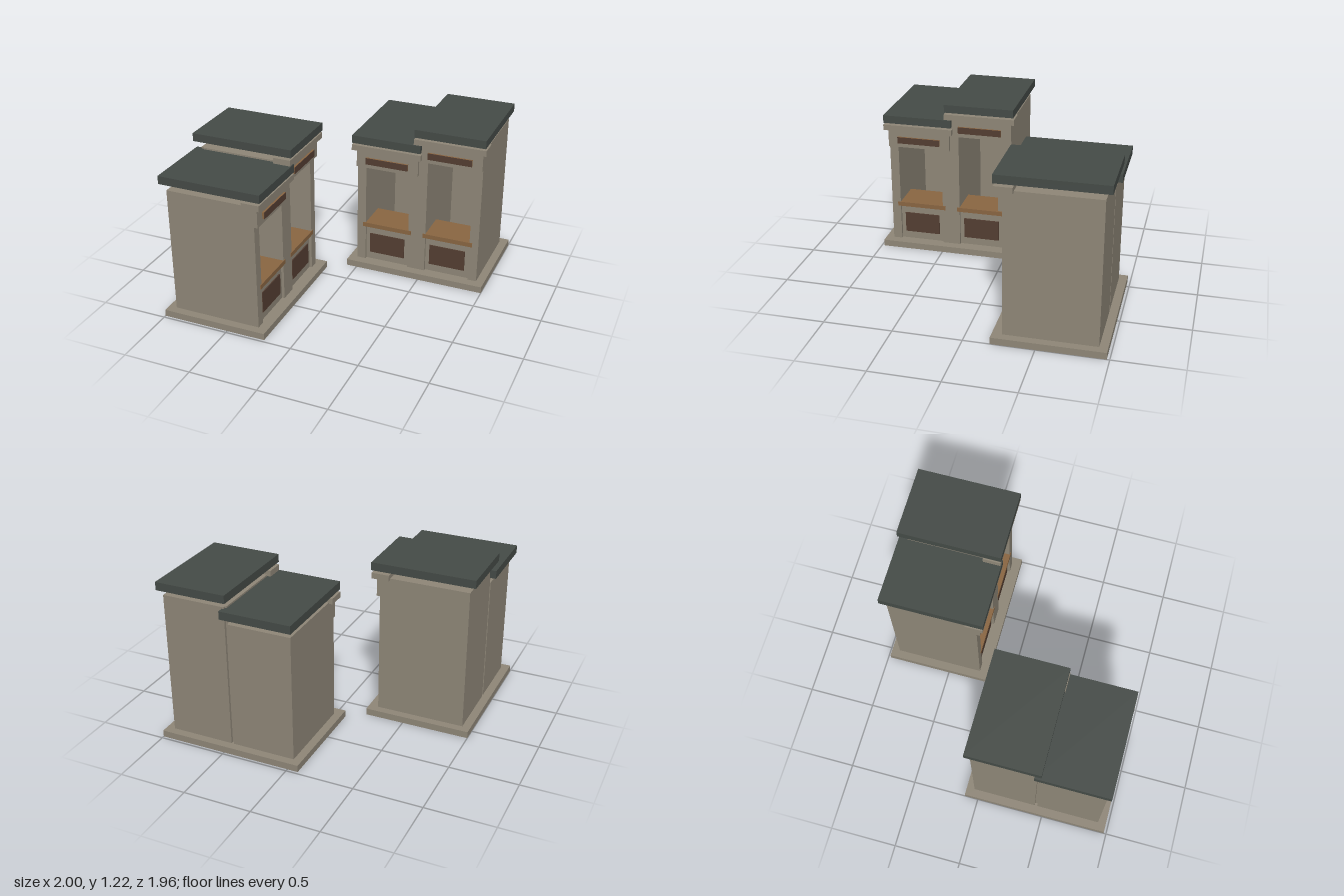
import * as THREE from 'three';

const mat = (name, color) => {
  const m = new THREE.MeshStandardMaterial({ color });
  m.name = name;
  return m;
};

// Box given by its min/max extents on each axis
function slab(parent, name, material, [x0, x1], [y0, y1], [z0, z1]) {
  const mesh = new THREE.Mesh(new THREE.BoxGeometry(x1 - x0, y1 - y0, z1 - z0), material);
  mesh.position.set((x0 + x1) / 2, (y0 + y1) / 2, (z0 + z1) / 2);
  mesh.name = name;
  parent.add(mesh);
}

export function createModel() {
  const stone = mat('warm grey stone', 0x8f8778);
  const slate = mat('dark slate', 0x454b47);
  const wood = mat('oak wood', 0x8a6642);
  const brown = mat('dark brown panel', 0x543e32);

  // One stall: x from -0.24 to 0.24, open to +z; rise lifts everything above the counter
  function stall(name, rise) {
    const g = new THREE.Group();
    g.name = name;
    const top = 0.99 + rise;

    // Shell
    for (const s of [-1, 1]) {
      const xs = s < 0 ? [-0.24, -0.172] : [0.172, 0.24];
      slab(g, 'sideWall', stone, xs, [0.05, top], [-0.315, 0.325]);
    }
    slab(g, 'backWall', stone, [-0.23, 0.24].map((v) => (rise ? v : -v)).sort((a, b) => a - b),
      [0.05, top], [-0.335, -0.315]);
    slab(g, 'ceiling', stone, [-0.172, 0.172], [top - 0.04, top], [-0.315, 0.325]);

    // Counter with recessed front panel
    slab(g, 'counterBase', stone, [-0.172, 0.172], [0.05, 0.335], [0.09, 0.305]);
    slab(g, 'counterPanel', brown, [-0.14, 0.137], [0.11, 0.272], [0.305, 0.313]);
    slab(g, 'counterTop', wood, [-0.193, 0.193], [0.333, 0.367], [0.07, 0.33]);

    // Fascia, sign board and cornice
    slab(g, 'fascia', stone, [-0.24, 0.24], [0.84 + rise, 0.98 + rise], [0.3, 0.35]);
    slab(g, 'signBoard', wood, [-0.165, 0.165], [0.875 + rise, 0.925 + rise], [0.35, 0.363]);
    slab(g, 'signFace', brown, [-0.165, 0.165], [0.875 + rise, 0.925 + rise], [0.363, 0.366]);
    slab(g, 'cornice', stone, [-0.268, 0.268], [0.98 + rise, 1.023 + rise], [0.25, 0.38]);

    // Flat roof raised just clear of the shell
    slab(g, 'roof', slate, [-0.264, 0.264], [1.04 + rise, 1.1 + rise], [-0.38, 0.385]);
    return g;
  }

  // A pair of stalls, one low and one tall, on a shared plinth
  function stallPair(name) {
    const g = new THREE.Group();
    g.name = name;
    slab(g, 'plinth', stone, [-0.54, 0.54], [0, 0.05], [-0.395, 0.395]);
    const low = stall('lowStall', 0);
    low.position.x = -0.24;
    const tall = stall('tallStall', 0.122);
    tall.position.x = 0.24;
    g.add(low, tall);
    return g;
  }

  const model = new THREE.Group();
  model.name = 'marketStalls';

  const rear = stallPair('rearStalls');
  rear.position.set(0.46, 0, -0.585);

  // Second pair turned to face +x
  const side = stallPair('sideStalls');
  side.rotation.y = Math.PI / 2;
  side.position.set(-0.605, 0, 0.44);

  model.add(rear, side);
  return model;
}
